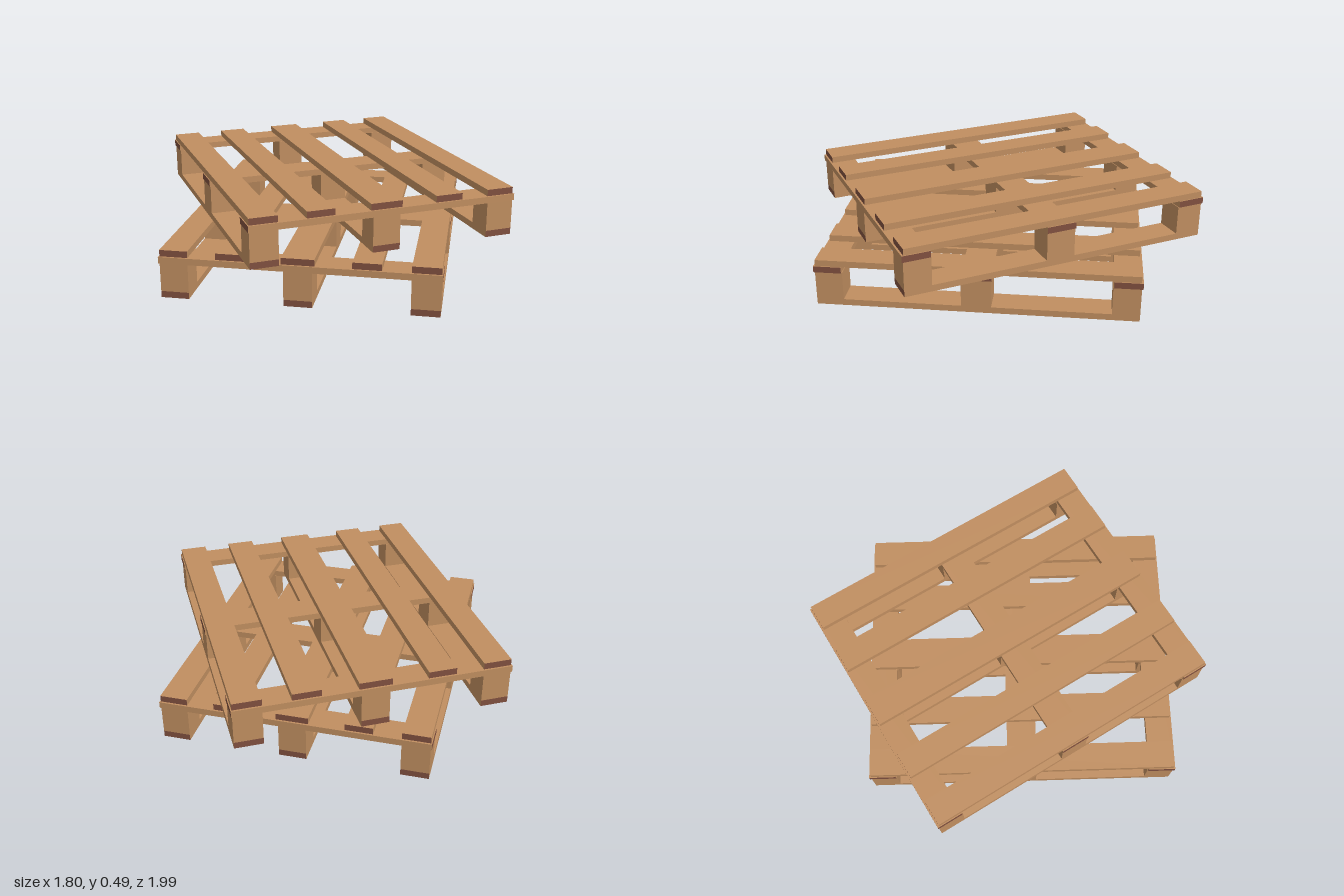
import * as THREE from 'three';

const wood = new THREE.MeshStandardMaterial({ color: 0xc08e60 });
const endGrain = new THREE.MeshStandardMaterial({ color: 0x80503f });

// Box standing on height y; endAxis marks the axis whose two end faces are stained
function plank(parent, name, [w, h, d], [x, y, z], endAxis) {
  const mats = Array.from({ length: 6 }, (_, i) =>
    (endAxis === 'x' && i < 2) || (endAxis === 'z' && i > 3) ? endGrain : wood);
  const mesh = new THREE.Mesh(new THREE.BoxGeometry(w, h, d), endAxis ? mats : wood);
  mesh.name = name;
  mesh.position.set(x, y + h / 2, z);
  parent.add(mesh);
}

const T = 0.033;        // board thickness
const BLOCK = 0.148;    // block height
const HEIGHT = 3 * T + BLOCK;

function createPallet(name) {
  const pallet = new THREE.Group();
  pallet.name = name;

  // Three bottom runners, each carrying three blocks
  for (const i of [-1, 0, 1]) {
    plank(pallet, 'bottomRunner', [0.14, T, 1.61], [i * 0.61, 0, 0], 'z');
    for (const j of [-1, 0, 1]) {
      const depth = j === 0 ? 0.15 : 0.137;
      plank(pallet, 'spacerBlock', [0.14, BLOCK, depth], [i * 0.61, T, j * 0.737]);
    }
  }

  // Cross boards over the blocks, the middle one wider
  for (const j of [-1, 0, 1]) {
    const depth = j === 0 ? 0.155 : 0.14;
    plank(pallet, 'crossBoard', [1.37, T, depth], [0, T + BLOCK, j * 0.742], 'x');
  }

  // Five deck boards, the middle one wider
  for (const x of [-0.61, -0.331, 0, 0.331, 0.61]) {
    plank(pallet, 'deckBoard', [x === 0 ? 0.162 : 0.14, T, 1.605], [x, 2 * T + BLOCK, 0], 'z');
  }
  return pallet;
}

export function createModel() {
  const model = new THREE.Group();
  model.name = 'stackedPallets';

  const lower = createPallet('lowerPallet');
  lower.position.set(0, 0, 0.005);
  lower.rotation.y = THREE.MathUtils.degToRad(-18);

  const upper = createPallet('upperPallet');
  upper.position.set(0.02, HEIGHT, -0.06);
  upper.rotation.y = THREE.MathUtils.degToRad(12);

  model.add(lower, upper);
  return model;
}
